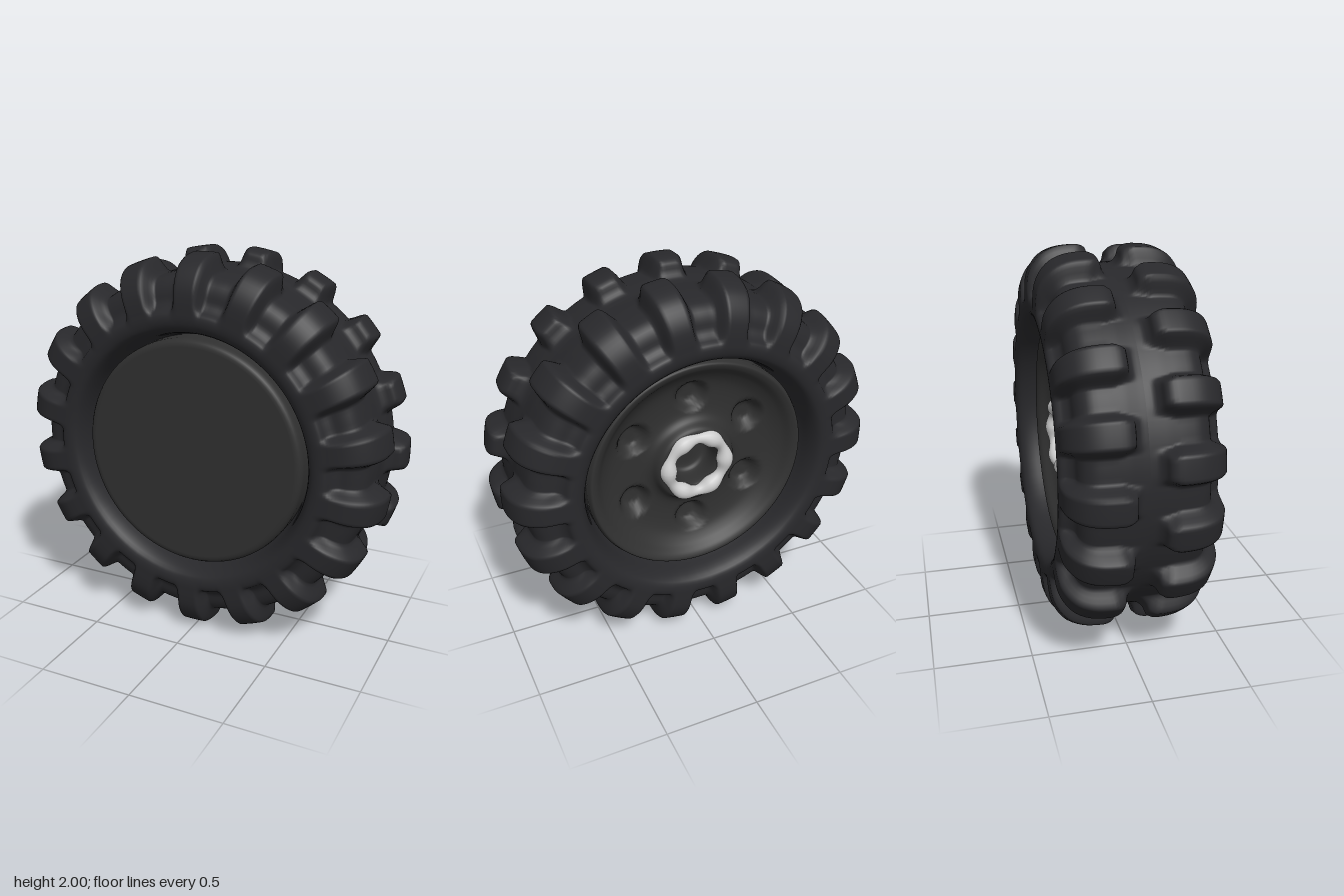
import * as THREE from 'three';

const LUGS = 18;
const PITCH = (Math.PI * 2) / LUGS;
const tyreMat = new THREE.MeshStandardMaterial({ color: 0x28282b });
const hubMat = new THREE.MeshStandardMaterial({ color: 0x303030 });
const greyMat = new THREE.MeshStandardMaterial({ color: 0xcccccc });
const { smoothstep, degToRad } = THREE.MathUtils;

// Smooth curve through [radius, z] points
const profile = (pts) => new THREE.CatmullRomCurve3(pts.map(([r, z]) => new THREE.Vector3(r, z, 0)), false, 'centripetal');

// Surface swept round the z axis; section(t, angle) gives [radius, z]
function sweep(rows, angles, section) {
  const pos = [], index = [], n = angles.length;
  for (let i = 0; i <= rows; i++) {
    for (let j = 0; j < n; j++) {
      const [r, z] = section(i / rows, angles[j]);
      pos.push(r * Math.cos(angles[j]), r * Math.sin(angles[j]), z);
      if (i === rows) continue;
      const k = (j + 1) % n, a = i * n + j, b = i * n + k;
      index.push(a, a + n, b + n, a, b + n, b);
    }
  }
  const geo = new THREE.BufferGeometry();
  geo.setAttribute('position', new THREE.Float32BufferAttribute(pos, 3));
  geo.setIndex(index);
  geo.computeVertexNormals();
  return geo;
}

// Half tyre: blends between a lug section and a pocket section
function tyreHalfGeometry() {
  const bead = [[0.59, 0.17], [0.615, 0.25], [0.632, 0.32], [0.66, 0.37], [0.7, 0.385]];
  const lug = profile([...bead, [0.745, 0.386], [0.79, 0.385], [0.85, 0.377], [0.91, 0.35], [0.96, 0.305],
    [0.99, 0.24], [1, 0.17], [0.998, 0.11], [0.98, 0.077], [0.94, 0.064], [0.912, 0.04], [0.905, 0]]);
  const pocket = profile([...bead, [0.735, 0.378], [0.755, 0.345], [0.785, 0.32], [0.83, 0.31], [0.87, 0.29],
    [0.898, 0.25], [0.908, 0.19], [0.91, 0.13], [0.91, 0.09], [0.908, 0.06], [0.906, 0.03], [0.905, 0]]);
  // Samples are denser at the lug walls
  const half = [1.6, 2.6, 3.3, 3.9, 4.5, 5.1, 5.7, 6.3, 7, 8.5];
  const steps = [...half.map((d) => -d).reverse(), 0, ...half, 10];
  const angles = [];
  for (let k = 0; k < LUGS; k++) {
    for (const d of steps) angles.push(Math.PI / 2 + k * PITCH + degToRad(d));
  }
  return sweep(48, angles, (t, a) => {
    const u = (a - Math.PI / 2) / PITCH;
    const p = lug.getPoint(t);
    // Lugs narrow towards the groove, which rounds their corners
    const off = Math.abs(u - Math.round(u)) * 20 + 1 - smoothstep(p.y, 0.06, 0.13);
    p.lerp(pocket.getPoint(t), smoothstep(off, 3.3, 6.6));
    return [p.x, p.y];
  });
}

// Dished back of the hub with six round dimples and a central boss
function dishGeometry() {
  const curve = profile([[0, 0.1], [0.1, 0.1], [0.122, 0.12], [0.132, 0.22], [0.16, 0.25], [0.205, 0.245],
    [0.235, 0.2], [0.27, 0.18], [0.36, 0.175], [0.45, 0.19], [0.51, 0.225], [0.555, 0.27], [0.585, 0.28], [0.6, 0.25]]);
  const angles = Array.from({ length: 120 }, (_, j) => (j / 120) * Math.PI * 2);
  return sweep(78, angles, (t, a) => {
    const p = curve.getPoint(t);
    const k = Math.floor(a / (Math.PI / 3));
    const da = a - (k + 0.5) * (Math.PI / 3);
    const d = Math.hypot(p.x * Math.cos(da) - 0.37, p.x * Math.sin(da));
    return [p.x, p.y - 0.06 * (1 - smoothstep(d, 0.05, 0.095))];
  });
}

// Axle ring: a torus whose tube swells at six lobes
function axleRingGeometry() {
  const R = 0.16, tube = 0.042;
  const geo = new THREE.TorusGeometry(R, tube, 16, 96);
  const pos = geo.attributes.position;
  for (let i = 0; i < pos.count; i++) {
    const x = pos.getX(i), y = pos.getY(i), a = Math.atan2(y, x);
    const swell = 0.87 + 0.2 * Math.cos(6 * a);
    const r = R + (Math.hypot(x, y) - R) * swell;
    pos.setXYZ(i, r * Math.cos(a), r * Math.sin(a), pos.getZ(i) * swell);
  }
  geo.computeVertexNormals();
  return geo;
}

export function createModel() {
  const wheel = new THREE.Group();
  wheel.name = 'wheel';
  const add = (name, geo, mat) => {
    const mesh = new THREE.Mesh(geo, mat);
    mesh.name = name;
    wheel.add(mesh);
    return mesh;
  };

  // Tyre halves, the back one staggered by half a lug
  const tyreGeo = tyreHalfGeometry();
  add('tyreFront', tyreGeo, tyreMat);
  add('tyreBack', tyreGeo, tyreMat).rotation.set(0, Math.PI, PITCH / 2, 'ZYX');

  // Flat front cap and hub wall
  const cap = [[0.6, -0.25], [0.6, 0.1], [0.6, 0.29], [0.597, 0.308], [0.588, 0.321], [0.575, 0.328], [0.56, 0.33], [0, 0.33]];
  add('hubCap', new THREE.LatheGeometry(cap.map(([r, y]) => new THREE.Vector2(r, y)), 96), hubMat).rotation.x = Math.PI / 2;

  // Back of the hub
  add('hubDish', dishGeometry(), hubMat).rotation.y = Math.PI;
  add('axleRing', axleRingGeometry(), greyMat).position.z = -0.25;

  wheel.position.y = 1;
  const model = new THREE.Group();
  model.add(wheel);
  return model;
}
